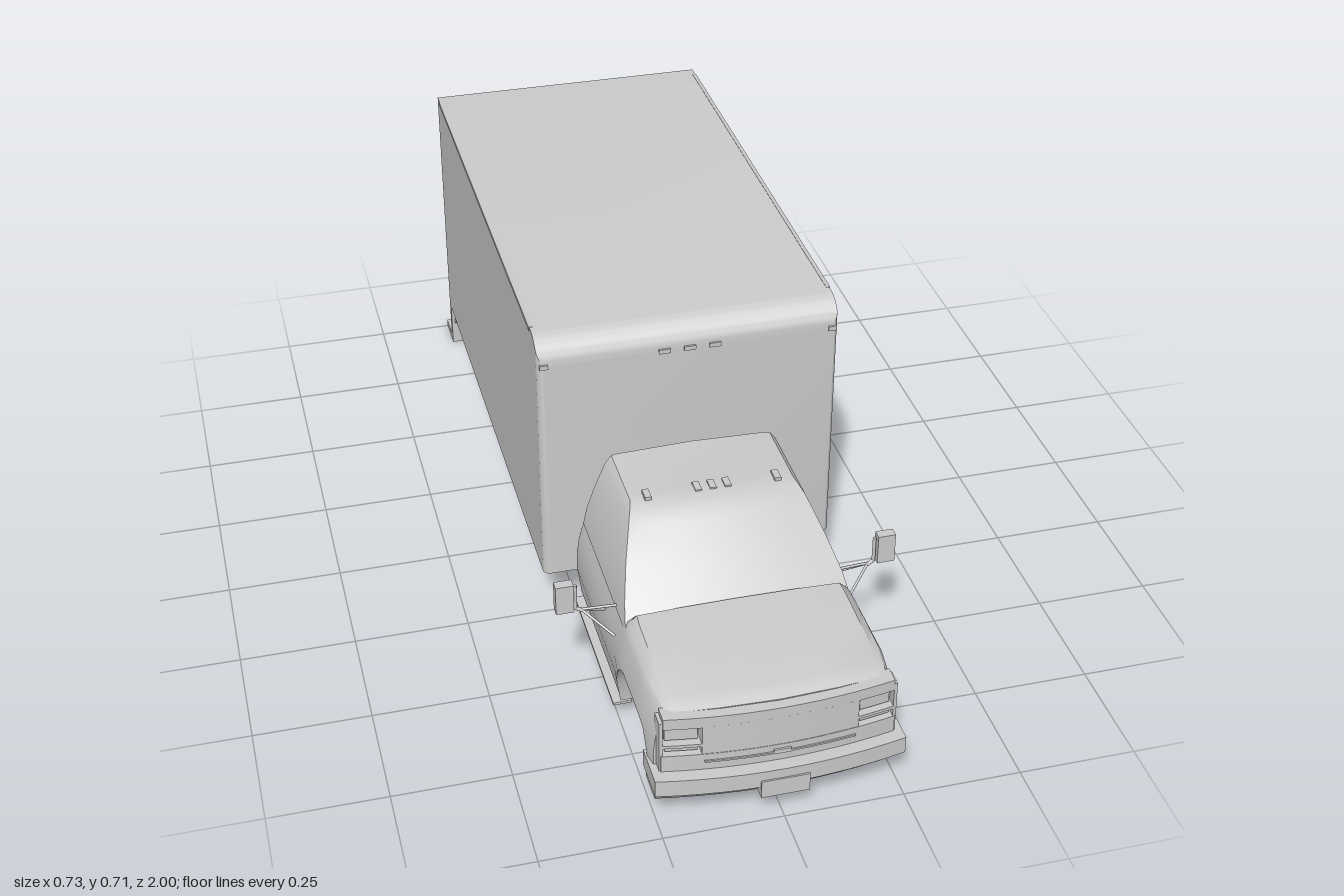
import * as THREE from 'three';
import { toCreasedNormals } from 'three/addons/utils/BufferGeometryUtils.js';

const mat = new THREE.MeshStandardMaterial({ color: 0xcccccc, side: THREE.DoubleSide });

// piecewise linear lookup in [[key, value], ...]
function lerpTable(table, k) {
  if (k <= table[0][0]) return table[0][1];
  for (let i = 1; i < table.length; i++) {
    const [a, va] = table[i - 1], [b, vb] = table[i];
    if (k <= b) return va + (vb - va) * (k - a) / (b - a);
  }
  return table[table.length - 1][1];
}

// skin through equal-length rings of [x, y, z], capped at both ends
function loft(rings, crease = 0.5) {
  const n = rings[0].length, pos = rings.flat(2), idx = [];
  for (let j = 0; j < rings.length - 1; j++)
    for (let i = 0; i < n; i++) {
      const a = j * n + i, b = j * n + (i + 1) % n;
      idx.push(a, b, b + n, a, b + n, a + n);
    }
  for (const [j, flip] of [[0, true], [rings.length - 1, false]]) {
    const c = pos.length / 3, mid = [0, 0, 0];
    rings[j].forEach(p => p.forEach((v, k) => { mid[k] += v / n; }));
    pos.push(...mid);
    for (let i = 0; i < n; i++) {
      const a = j * n + i, b = j * n + (i + 1) % n;
      idx.push(c, flip ? b : a, flip ? a : b);
    }
  }
  const g = new THREE.BufferGeometry();
  g.setAttribute('position', new THREE.Float32BufferAttribute(pos, 3));
  g.setIndex(idx);
  return toCreasedNormals(g, crease);
}

const bow = x => -0.4 * x * x; // nose curvature in plan

export function createModel() {
  const root = new THREE.Group();
  const add = (name, geo) => {
    const m = new THREE.Mesh(geo, mat);
    m.name = name;
    root.add(m);
    return m;
  };
  // box given by its min and max corners
  const box = (name, x0, x1, y0, y1, z0, z1) =>
    add(name, new THREE.BoxGeometry(x1 - x0, y1 - y0, z1 - z0)
      .translate((x0 + x1) / 2, (y0 + y1) / 2, (z0 + z1) / 2));
  // the same, bowed to follow the nose; undercut pulls the lower front edge back
  const bent = (name, x0, x1, y0, y1, z0, z1, undercut = 0) => {
    const g = new THREE.BoxGeometry(x1 - x0, y1 - y0, z1 - z0, 12)
      .translate((x0 + x1) / 2, (y0 + y1) / 2, (z0 + z1) / 2);
    const p = g.attributes.position;
    for (let i = 0; i < p.count; i++) {
      const low = p.getY(i) < (y0 + y1) / 2 && p.getZ(i) > (z0 + z1) / 2;
      p.setZ(i, p.getZ(i) + bow(p.getX(i)) - (low ? undercut : 0));
    }
    return add(name, toCreasedNormals(g, 0.5));
  };
  const rod = (name, a, b, r) => {
    const A = new THREE.Vector3(...a), B = new THREE.Vector3(...b);
    const m = add(name, new THREE.CylinderGeometry(r, r, A.distanceTo(B), 8));
    m.position.copy(A).add(B).multiplyScalar(0.5);
    m.quaternion.setFromUnitVectors(new THREE.Vector3(0, 1, 0), B.sub(A).normalize());
  };

  // cargo box, rounded at the front top and front corners
  const boxRing = (w, h, z) => [[-w, 0.11, z], [w, 0.11, z], [w, h, z], [-w, h, z]];
  const boxRings = [boxRing(0.327, 0.705, -0.93)];
  for (let i = 0; i <= 14; i++) {
    const a = i / 14 * Math.PI / 2, z = 0.2 + 0.06 * Math.sin(a);
    const d = Math.max(0, z - 0.245);
    boxRings.push(boxRing(0.312 + Math.sqrt(Math.max(0, 0.015 ** 2 - d * d)), 0.645 + 0.06 * Math.cos(a), z));
  }
  add('cargoBox', loft(boxRings));
  for (const x of [-0.055, 0, 0.055]) box('boxMarkerLight', x - 0.0125, x + 0.0125, 0.643, 0.653, 0.25, 0.264);
  for (const x of [-0.2, -0.05, 0, 0.05, 0.2]) box('rearMarkerLight', x - 0.015, x + 0.015, 0.688, 0.697, -0.934, -0.92);

  // chassis and rear step
  box('chassis', -0.14, 0.14, 0.055, 0.112, -0.91, 0.3);
  box('rearStep', -0.327, 0.327, 0, 0.018, -1, -0.915);

  // lower cab: hood, fenders and doors, with open wheel arches
  const arch = [[0.645, 0.055], [0.65, 0.11], [0.665, 0.15], [0.685, 0.175], [0.71, 0.186], [0.86, 0.186],
    [0.885, 0.175], [0.905, 0.15], [0.918, 0.11], [0.922, 0.055]];
  const sideX = [[0.055, 0.25], [0.12, 0.259], [0.16, 0.259], [0.2, 0.254], [0.25, 0.24]];
  const flare = [[0.62, 0.985], [0.68, 1.01], [0.86, 1.01], [0.92, 0.98], [0.945, 0.96]];
  const topY = [[0.62, 0.255], [0.655, 0.285], [0.75, 0.281], [0.85, 0.275], [0.92, 0.267], [0.945, 0.258]];
  const bodyRing = z => {
    const yb = lerpTable(arch, z), top = lerpTable(topY, z), f = lerpTable(flare, z);
    const half = [[0, 0.055], [0.13, 0.055], [0.13, yb]];
    for (const y of [yb, 0.12, 0.16, 0.2, 0.225, 0.248]) {
      const yy = Math.max(y, yb);
      half.push([lerpTable(sideX, yy) * f, yy]);
    }
    half.push([0.233 * f, 0.25 + (top - 0.25) * 0.45], [0.215 * f, top - 0.003], [0.12, top], [0, top + 0.001]);
    const mirrored = half.slice(1, -1).reverse().map(([x, y]) => [-x, y]);
    const k = THREE.MathUtils.smoothstep(z, 0.75, 0.945);
    return [...half, ...mirrored].map(([x, y]) => [x, y, z + k * bow(x)]);
  };
  const stations = [0.27, 0.45, 0.62, ...arch.map(a => a[0]), 0.655, 0.75, 0.8, 0.935, 0.945].sort((a, b) => a - b);
  add('cabBody', loft(stations.map(bodyRing)));

  // greenhouse: windshield, side windows and roof
  const cabinRing = ([y, w, zf]) => {
    const ring = [];
    for (let i = 0; i <= 12; i++) {
      const t = i / 6 - 1;
      ring.push([t * w, y - (y > 0.41 ? 0.005 * t * t : 0), zf - 0.03 * t * t]);
    }
    const drop = y > 0.41 ? 0.005 : 0;
    return [...ring, [w, y - drop, 0.275], [0, y, 0.275], [-w, y - drop, 0.275]];
  };
  add('cabin', loft([[0.245, 0.24, 0.69], [0.285, 0.232, 0.65], [0.34, 0.213, 0.585], [0.395, 0.19, 0.52],
    [0.411, 0.182, 0.495], [0.418, 0.176, 0.475], [0.42, 0.168, 0.45]].map(cabinRing), 0.45));
  for (const x of [-0.14, -0.032, 0, 0.032, 0.14]) box('roofMarkerLight', x - 0.007, x + 0.007, 0.412, 0.423, 0.425, 0.455);
  box('cabRearSeal', -0.2, 0.2, 0.1, 0.25, 0.255, 0.275);

  // nose: bars framing recessed lamps
  bent('noseTop', -0.236, 0.236, 0.23, 0.256, 0.93, 0.967);
  bent('noseBottom', -0.24, 0.24, 0.12, 0.163, 0.93, 0.968);
  bent('grille', -0.16, 0.16, 0.16, 0.232, 0.93, 0.967);
  bent('grilleTrim', -0.155, 0.155, 0.143, 0.147, 0.96, 0.971);
  bent('grilleTab', -0.018, 0.018, 0.143, 0.153, 0.96, 0.972);

  // front bumper, air dam and plate
  bent('frontBumper', -0.258, 0.258, 0.085, 0.124, 0.9, 0.997);
  bent('airDam', -0.252, 0.252, 0.053, 0.086, 0.9, 0.992, 0.025);
  box('plate', -0.05, 0.05, 0.06, 0.102, 0.97, 1);

  for (const s of [1, -1]) {
    const sided = (make, name, x0, x1, ...rest) => make(name, Math.min(s * x0, s * x1), Math.max(s * x0, s * x1), ...rest);
    // lamps
    sided(bent, 'noseSide', 0.236, 0.243, 0.125, 0.245, 0.93, 0.966);
    sided(bent, 'lampDivider', 0.158, 0.24, 0.181, 0.188, 0.93, 0.966);
    sided(bent, 'headlight', 0.166, 0.23, 0.193, 0.225, 0.94, 0.954);
    sided(bent, 'turnSignal', 0.166, 0.23, 0.166, 0.178, 0.94, 0.956);
    // running board
    sided(box, 'runningBoard', 0.222, 0.262, 0.036, 0.042, 0.27, 0.635);
    for (const z of [0.35, 0.55]) rod('boardBracket', [s * 0.235, 0.04, z], [s * 0.215, 0.06, z], 0.005);
    // mirror on stays
    sided(box, 'mirror', 0.327, 0.365, 0.25, 0.318, 0.552, 0.574);
    rod('mirrorPost', [s * 0.322, 0.25, 0.563], [s * 0.322, 0.31, 0.563], 0.004);
    rod('mirrorPostFoot', [s * 0.322, 0.252, 0.563], [s * 0.308, 0.244, 0.565], 0.004);
    rod('mirrorStay', [s * 0.31, 0.246, 0.563], [s * 0.234, 0.252, 0.575], 0.003);
    rod('mirrorStay', [s * 0.31, 0.246, 0.563], [s * 0.252, 0.205, 0.615], 0.003);
    rod('mirrorStay', [s * 0.31, 0.246, 0.563], [s * 0.252, 0.205, 0.525], 0.003);
    // cargo box trim and lights
    sided(box, 'roofRail', 0.32, 0.3285, 0.697, 0.706, -0.9, 0.19);
    sided(box, 'cornerMarkerLight', 0.304, 0.322, 0.643, 0.653, 0.245, 0.264);
    for (const y of [0.15, 0.18, 0.21]) sided(box, 'tailLight', 0.305, 0.32, y, y + 0.02, -0.935, -0.92);
    // step supports and slanted braces
    sided(box, 'outerStepPost', 0.301, 0.327, 0.01, 0.112, -0.93, -0.912);
    sided(box, 'innerStepPost', 0.119, 0.135, 0.01, 0.112, -0.93, -0.912);
    const brace = new THREE.Shape([[0.86, 0.112], [0.92, 0.112], [0.92, 0.06], [0.91, 0.06]].map(p => new THREE.Vector2(...p)));
    add('stepBrace', new THREE.ExtrudeGeometry(brace, { depth: 0.018, bevelEnabled: false })
      .rotateY(Math.PI / 2).translate(s * 0.31 - 0.009, 0, 0));
  }
  return root;
}
